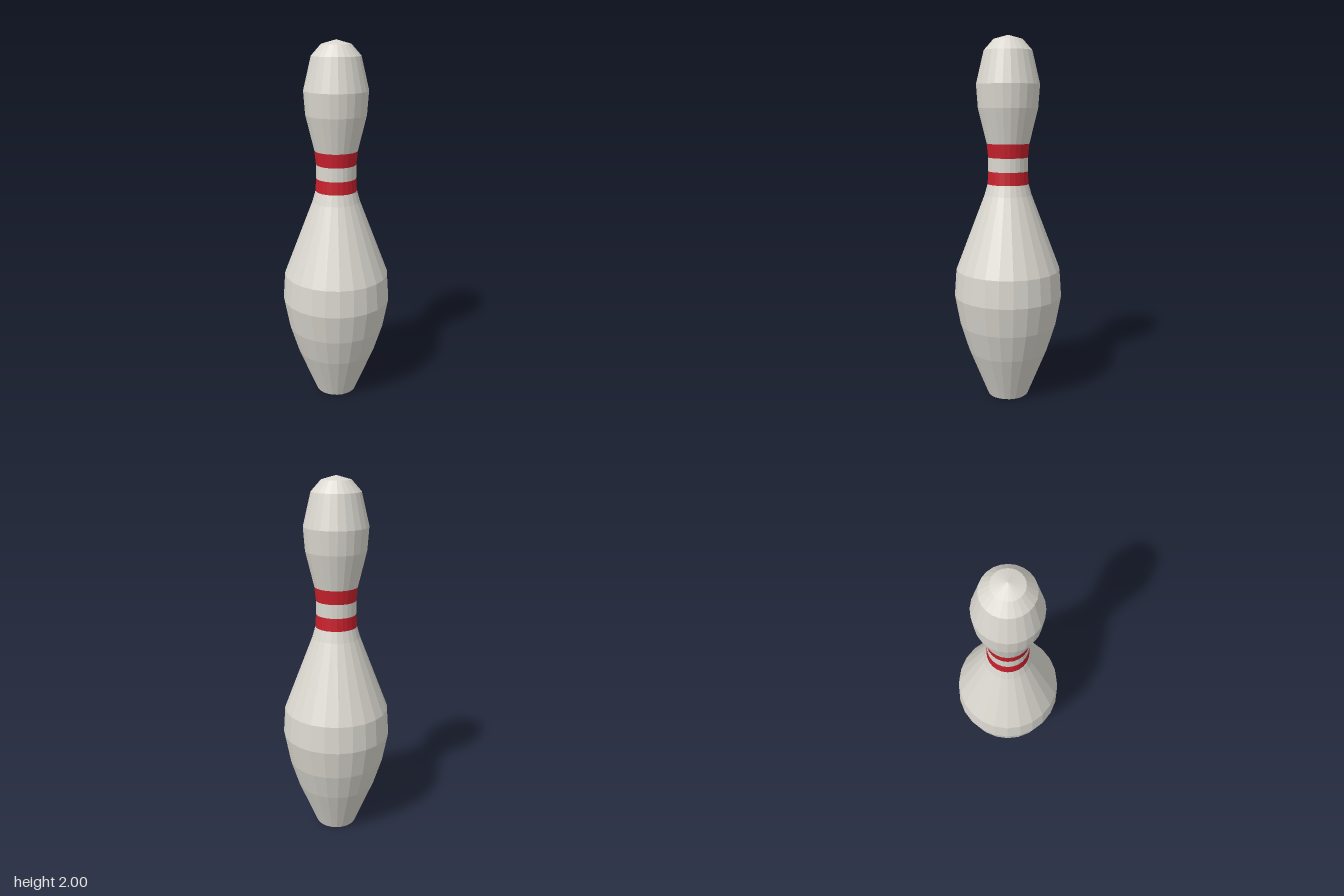
import * as THREE from 'three';

const SIDES = 24;

// Turn a faceted section from [radius, height] pairs, listed bottom to top
function turned(name, profile, material) {
  const points = profile.map(([r, y]) => new THREE.Vector2(r, y));
  const geometry = new THREE.LatheGeometry(points, SIDES).toNonIndexed();
  geometry.computeVertexNormals();
  const mesh = new THREE.Mesh(geometry, material);
  mesh.name = name;
  return mesh;
}

export function createModel() {
  const white = new THREE.MeshStandardMaterial({ color: 0xdad7cf, flatShading: true });
  white.name = 'pinWhite';
  const red = new THREE.MeshStandardMaterial({ color: 0xc8202c, flatShading: true });
  red.name = 'stripeRed';

  // Rings shared by neighbouring sections at the neck
  const a = [0.113, 1.21], b = [0.109, 1.28], c = [0.109, 1.355], d = [0.117, 1.43];

  const pin = new THREE.Group();
  pin.name = 'bowlingPin';
  pin.add(
    // Closed base, belly and shoulder
    turned('body', [
      [0, 0], [0.115, 0], [0.127, 0.03], [0.222, 0.265], [0.27, 0.42],
      [0.3, 0.585], [0.289, 0.735], [0.13, 1.15], a,
    ], white),
    turned('lowerStripe', [a, b], red),
    turned('neck', [b, c], white),
    turned('upperStripe', [c, d], red),
    // Rounded head
    turned('head', [
      d, [0.163, 1.62], [0.172, 1.745], [0.13, 1.92], [0.078, 1.978], [0, 2],
    ], white),
  );
  return pin;
}
